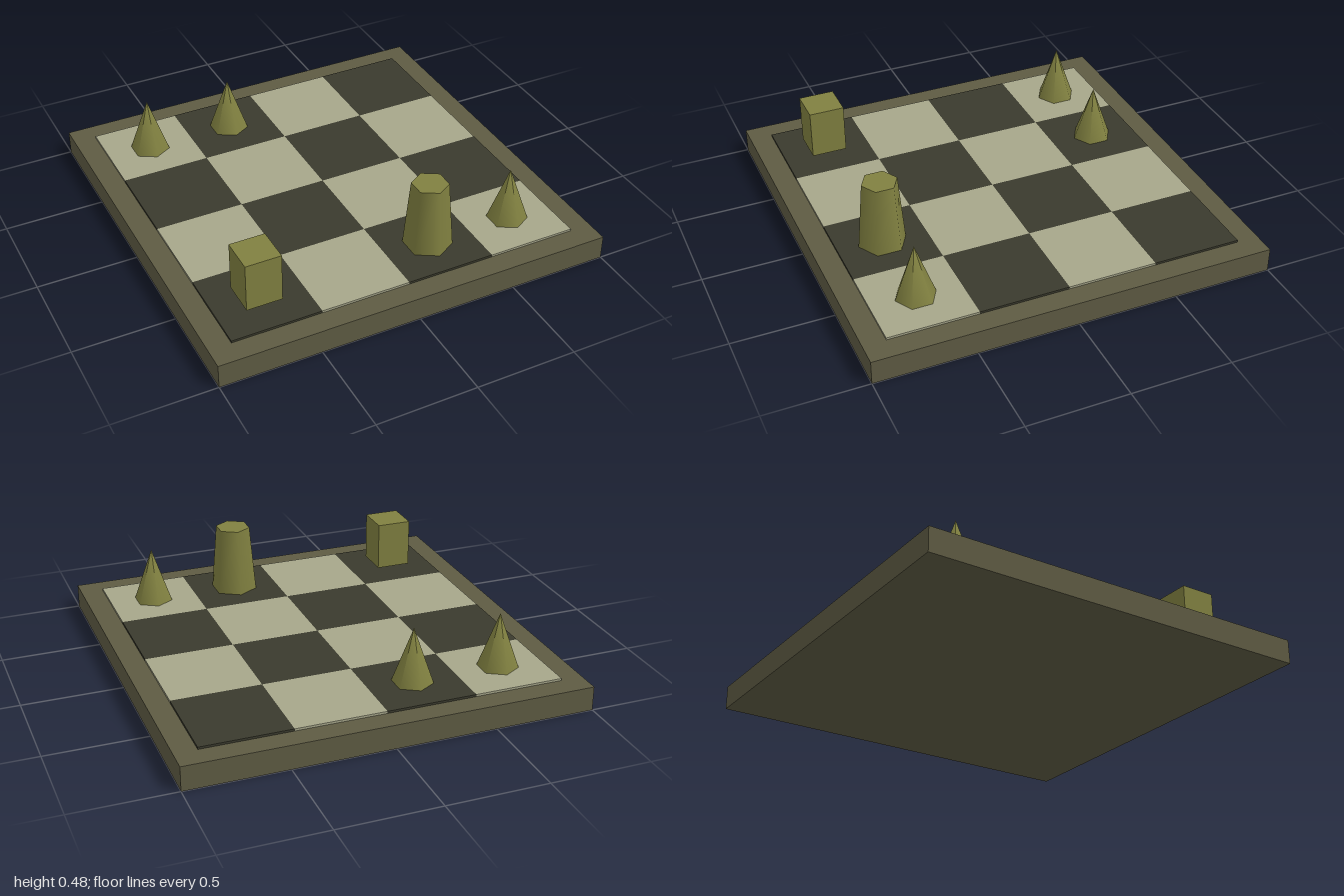
import * as THREE from 'three';

const material = (name, color) => {
  const m = new THREE.MeshStandardMaterial({ color });
  m.name = name;
  return m;
};

export function createModel() {
  const wood = material('board brown', 0x5e5b43);
  const light = material('light square', 0xa6a68a);
  const dark = material('dark square', 0x3a3a2d);
  const olive = material('piece olive', 0x808040);

  const group = new THREE.Group();
  group.name = 'gameBoard';
  const add = (name, geometry, mat, x, y, z) => {
    const mesh = new THREE.Mesh(geometry, mat);
    mesh.name = name;
    mesh.position.set(x, y, z);
    group.add(mesh);
  };

  const boardTop = 0.122, tile = 0.4444, tileHeight = 0.011;
  const top = boardTop + tileHeight;
  const at = (i) => (i - 1.5) * tile;

  // Base slab
  add('board', new THREE.BoxGeometry(2, boardTop, 2), wood, 0, boardTop / 2, 0);

  // Four by four chequered squares
  const square = new THREE.BoxGeometry(tile, tileHeight, tile);
  for (let row = 0; row < 4; row++) {
    for (let col = 0; col < 4; col++) {
      const isLight = (row + col) % 2 === 0;
      add(isLight ? 'lightSquare' : 'darkSquare', square, isLight ? light : dark,
        at(col), boardTop + tileHeight / 2, at(row));
    }
  }

  // Six-sided cone pieces
  const cone = new THREE.ConeGeometry(0.1, 0.278, 6);
  for (const [col, row] of [[0, 0], [1, 0], [3, 3]]) {
    add('conePiece', cone, olive, at(col), top + 0.139, at(row));
  }

  // Tapered tower piece
  add('towerPiece', new THREE.CylinderGeometry(0.089, 0.119, 0.344, 6), olive, at(2), top + 0.172, at(3));

  // Block piece, sitting just clear of its square
  add('blockPiece', new THREE.BoxGeometry(0.178, 0.248, 0.178), olive, at(0), 0.277, at(3));

  return group;
}
